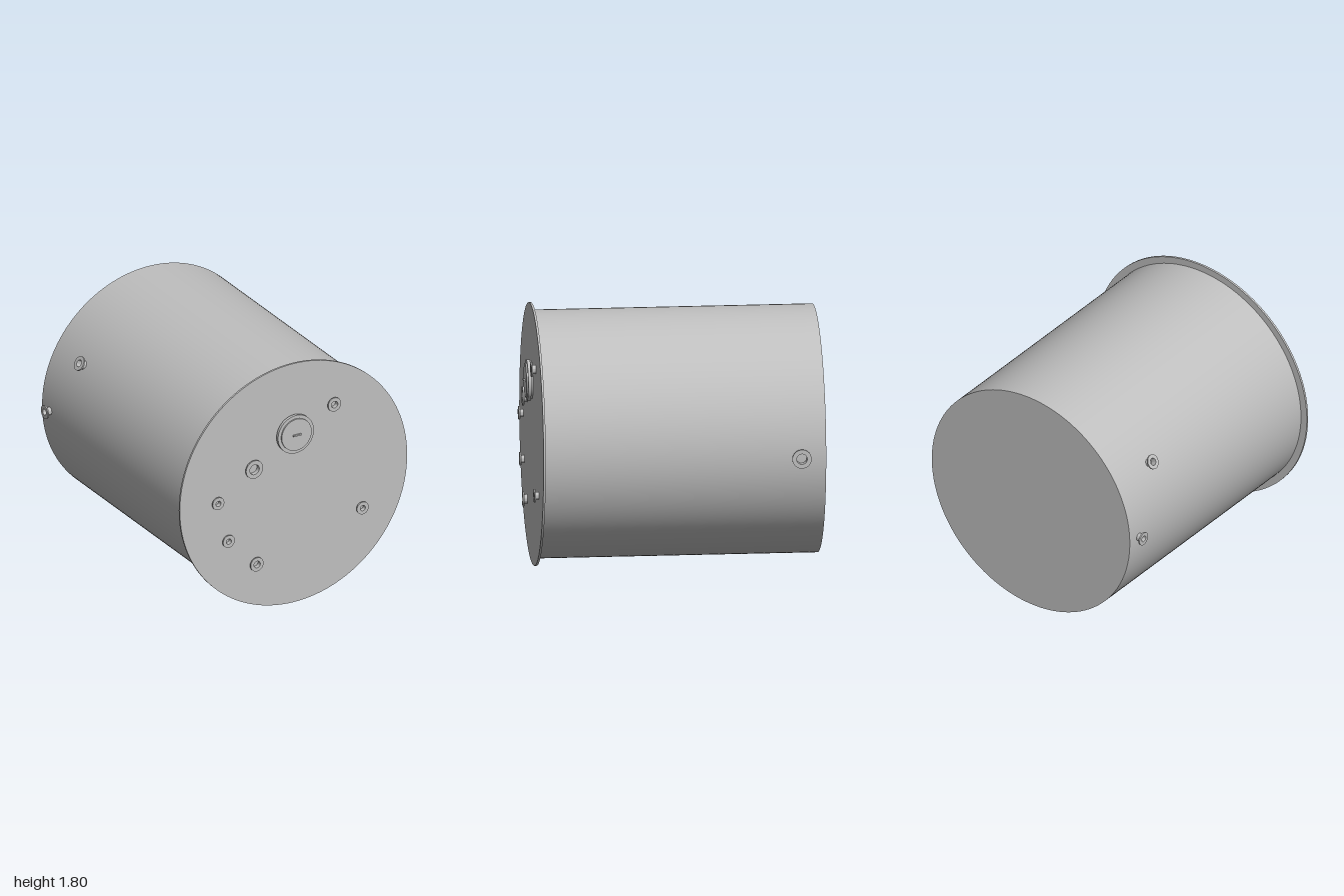
import * as THREE from 'three';
import { toCreasedNormals } from 'three/addons/utils/BufferGeometryUtils.js';

const UP = new THREE.Vector3(0, 1, 0);
const CENTER_Y = 0.9;

export function createModel() {
  const steel = new THREE.MeshStandardMaterial({ color: 0xbfbfbf });
  steel.name = 'steel grey';
  const tank = new THREE.Group();
  tank.name = 'tank';

  const add = (name, geometry, position, direction) => {
    const mesh = new THREE.Mesh(geometry, steel);
    mesh.name = name;
    mesh.position.copy(position);
    mesh.quaternion.setFromUnitVectors(UP, direction);
    tank.add(mesh);
    return mesh;
  };

  // Turned part with crisp edges, axis along y
  const turned = (profile, segments) => toCreasedNormals(
    new THREE.LatheGeometry(profile.map(([r, y]) => new THREE.Vector2(r, y)), segments), 0.6);

  // Hollow neck ending in a thin flange; sunk hides the root in the wall
  const nozzle = (flangeR, boreR, height, sunk) => {
    const neckR = boreR + 0.006;
    const under = height - 0.01;
    return turned([
      [neckR, -sunk], [neckR, under], [flangeR, under],
      [flangeR, height], [boreR, height], [boreR, -sunk],
    ], 40);
  };

  const front = new THREE.Vector3(0, 0, 1);
  const plateFace = 0.943;

  // Shell and oversized front plate
  add('shell', new THREE.CylinderGeometry(0.85, 0.85, 1.93, 128),
    new THREE.Vector3(0, CENTER_Y, -0.035), front);
  add('frontPlate', new THREE.CylinderGeometry(0.9, 0.9, 0.015, 128),
    new THREE.Vector3(0, CENTER_Y, plateFace - 0.0075), front);

  // Nozzles on the front plate: x, y, flange radius, bore radius
  [
    [0.307, 1.43, 0.051, 0.025],
    [-0.327, 1.09, 0.067, 0.037],
    [-0.613, 0.9, 0.046, 0.02],
    [-0.53, 0.596, 0.046, 0.02],
    [0.53, 0.596, 0.046, 0.02],
    [-0.307, 0.37, 0.051, 0.025],
  ].forEach(([x, y, flangeR, boreR], i) => {
    add(`frontNozzle${i + 1}`, nozzle(flangeR, boreR, 0.033, 0.002),
      new THREE.Vector3(x, y, plateFace), front);
  });

  // Nozzles on the shell: angle around the axis, z, flange radius, bore radius
  [
    [0, -0.83, 0.066, 0.036],
    [180, -0.897, 0.048, 0.022],
    [150, -0.635, 0.051, 0.025],
  ].forEach(([degrees, z, flangeR, boreR], i) => {
    const a = THREE.MathUtils.degToRad(degrees);
    const out = new THREE.Vector3(Math.cos(a), Math.sin(a), 0);
    const root = out.clone().multiplyScalar(0.85).add(new THREE.Vector3(0, CENTER_Y, z));
    add(`sideNozzle${i + 1}`, nozzle(flangeR, boreR, 0.042, 0.01), root, out);
  });

  // Round hatch with stepped lid and a small grip
  add('hatch', turned([
    [0.13, -0.002], [0.13, 0.012], [0.142, 0.012], [0.142, 0.034],
    [0.118, 0.034], [0.118, 0.044], [0, 0.044],
  ], 64), new THREE.Vector3(0, 1.28, plateFace), front);
  const grip = new THREE.Mesh(new THREE.BoxGeometry(0.062, 0.01, 0.016), steel);
  grip.name = 'hatchGrip';
  grip.position.set(0, 1.28, 0.992);
  tank.add(grip);

  return tank;
}
